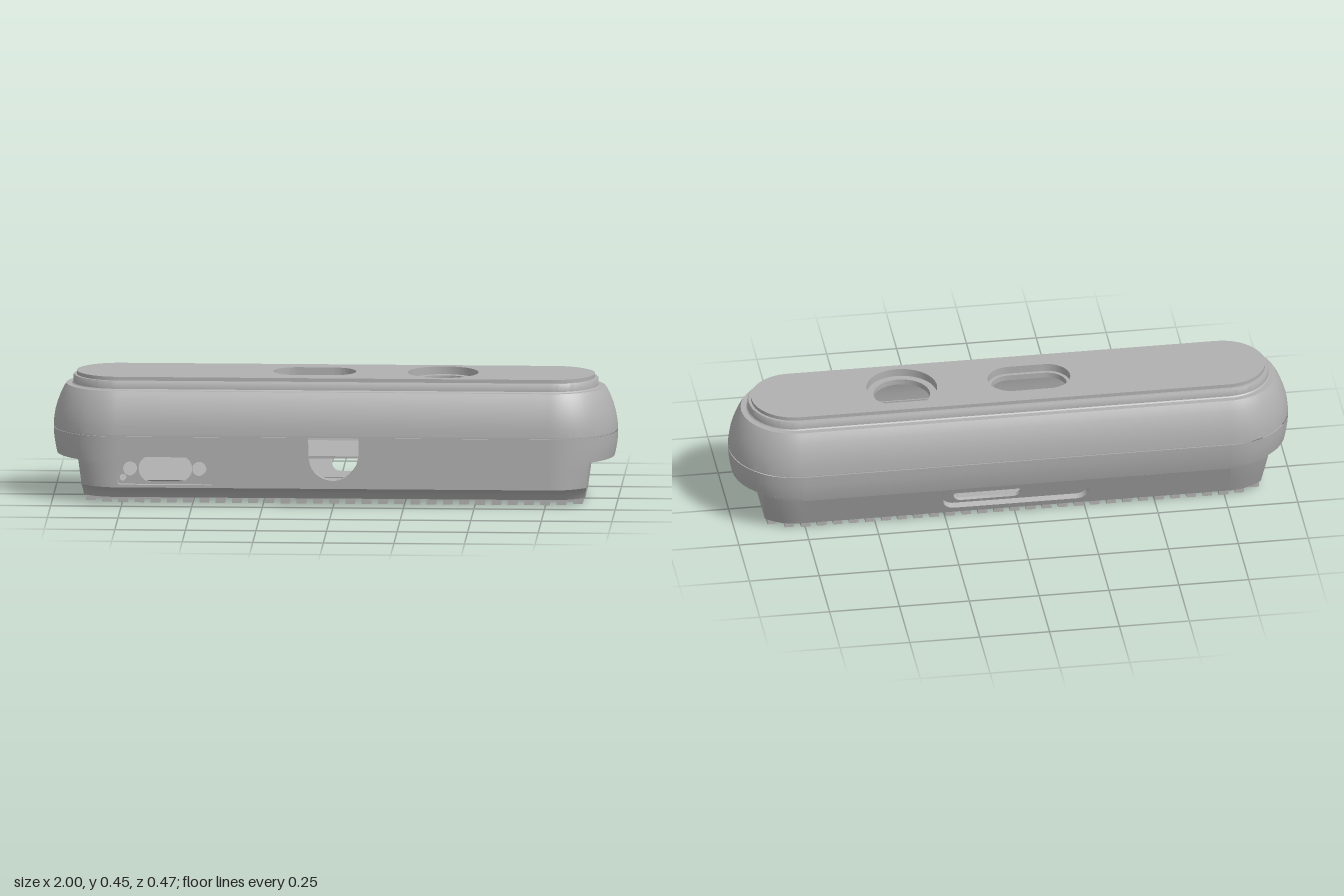
import * as THREE from 'three';
import { toCreasedNormals } from 'three/addons/utils/BufferGeometryUtils.js';

const CX = 0.767; // centre of each rounded end

// Lower body sections: height, radius of the ends and back, depth of the front
const LOWER = [
  [0.02, 0.168, 0.169], [0.04, 0.1761, 0.184], [0.055, 0.1822, 0.205],
  [0.06, 0.1842, 0.222], [0.065, 0.1862, 0.233], [0.14, 0.2165, 0.233], [0.157, 0.221, 0.233],
];
const MIDDLE = [[0.157, 0.221, 0.233], [0.18, 0.226, 0.233], [0.21, 0.231, 0.233], [0.247, 0.233, 0.233]];
const UPPER = [
  [0.247, 0.229], [0.253, 0.229], [0.253, 0.233], [0.28, 0.231], [0.31, 0.226], [0.34, 0.2175],
  [0.37, 0.206], [0.39, 0.196], [0.403, 0.188], [0.403, 0.168], [0.407, 0.164], [0.432, 0.163],
  [0.435, 0.161], [0.435, 0.148],
];

// Rounded end of one section, front to back on +x; plane(y) cuts it flat
function endPoints(side, [y, r, front = r], cut) {
  const plane = 0.885 + 0.13 * y;
  const tc = cut ? Math.acos((plane - CX) / r) : 0.95;
  const angles = [];
  for (let i = 0; i <= 12; i++) angles.push(Math.PI / 2 + (tc - Math.PI / 2) * i / 12);
  for (let i = 1; i < 12; i++) angles.push(tc * (1 - i / 6));
  for (let i = 0; i <= 12; i++) angles.push(-tc + (tc - Math.PI / 2) * i / 12);
  const pts = angles.map((t) => {
    const flat = cut && Math.abs(t) < tc;
    const x = flat ? plane : CX + r * Math.cos(t);
    const z = flat ? r * Math.sin(tc) * t / tc : r * Math.sin(t);
    return [side * x, y, z > 0 ? z * front / r : z];
  });
  return side > 0 ? pts : pts.reverse();
}

function ring(section, cut) {
  const pts = [...endPoints(1, section, cut), ...endPoints(-1, section, cut)];
  return [...pts, pts[0]];
}

// Skin over rows of points, bottom row first
function skin(rows) {
  const p = [];
  for (let i = 0; i < rows.length - 1; i++) {
    for (let j = 0; j < rows[i].length - 1; j++) {
      const a = rows[i][j], b = rows[i][j + 1], c = rows[i + 1][j + 1], d = rows[i + 1][j];
      p.push(...a, ...b, ...c, ...a, ...c, ...d);
    }
  }
  const g = new THREE.BufferGeometry();
  g.setAttribute('position', new THREE.Float32BufferAttribute(p, 3));
  return toCreasedNormals(g, 0.6);
}

// Pill outline; a circle when hx equals hy
function pill(cx, cy, hx, hy, Type = THREE.Path) {
  const s = new Type();
  s.absarc(cx + hx - hy, cy, hy, -Math.PI / 2, Math.PI / 2, false);
  s.absarc(cx - hx + hy, cy, hy, Math.PI / 2, Math.PI * 1.5, false);
  s.closePath();
  return s;
}

function roundRect(x0, y0, x1, y1, r, Type = THREE.Path) {
  const s = new Type();
  s.absarc(x1 - r, y0 + r, r, -Math.PI / 2, 0, false);
  s.absarc(x1 - r, y1 - r, r, 0, Math.PI / 2, false);
  s.absarc(x0 + r, y1 - r, r, Math.PI / 2, Math.PI, false);
  s.absarc(x0 + r, y0 + r, r, Math.PI, Math.PI * 1.5, false);
  s.closePath();
  return s;
}

function rect(x0, y0, x1, y1) {
  return new THREE.Shape([[x0, y0], [x1, y0], [x1, y1], [x0, y1]].map((q) => new THREE.Vector2(...q)));
}

function plate(shape, depth, holes = []) {
  shape.holes.push(...holes);
  const g = new THREE.ExtrudeGeometry(shape, { depth, bevelEnabled: false, curveSegments: 20 });
  return toCreasedNormals(g, 0.6);
}

export function createModel() {
  const model = new THREE.Group();
  model.name = 'device';
  const grey = new THREE.MeshStandardMaterial({ color: 0xb0b0b0, side: THREE.DoubleSide });
  grey.name = 'grey';
  const add = (name, geometry, x = 0, y = 0, z = 0, parent = model) => {
    const m = new THREE.Mesh(geometry, grey);
    m.name = name;
    m.position.set(x, y, z);
    parent.add(m);
    return m;
  };

  // Upper shell with its stepped rim
  add('upperShell', skin(UPPER.map((s) => ring(s, false))));

  // Top plate with a pill opening and a round opening, each with an inner lip
  const top = (depth, inset) => plate(pill(0, 0, 0.918, 0.151, THREE.Shape), depth, [
    pill(-0.075, 0, 0.147 - inset / 2, 0.083 - inset / 2), pill(0.38, 0, 0.125 - inset, 0.125 - inset),
  ]).rotateX(-Math.PI / 2);
  add('topPlate', top(0.028, 0), 0, 0.42);
  add('openingLips', top(0.02, 0.025), 0, 0.4);

  // Rounded ends of the lower body, cut flat below a ledge
  for (const side of [1, -1]) {
    const rows = [...LOWER.map((s) => endPoints(side, s, true)), ...MIDDLE.map((s) => endPoints(side, s, false))];
    add(side > 0 ? 'leftEnd' : 'rightEnd', skin(rows));
  }

  // Flat front wall with a U-shaped notch and a connector opening
  const front = new THREE.Shape();
  front.moveTo(-CX, 0.065);
  front.lineTo(CX, 0.065);
  front.lineTo(CX, 0.247);
  front.lineTo(0.09, 0.247);
  front.lineTo(0.09, 0.182);
  front.absarc(0, 0.182, 0.088, 0, -Math.PI, true);
  front.lineTo(-0.09, 0.247);
  front.lineTo(-CX, 0.247);
  // The opening sits just inside the flat part of the wall
  add('frontWall', plate(front, 0.03, [roundRect(-0.765, 0.075, -0.42, 0.18, 0.015)]), 0, 0, 0.203);
  add('connectorPlate', plate(roundRect(-0.785, 0.07, -0.41, 0.185, 0.01, THREE.Shape), 0.012, [
    pill(-0.595, 0.13, 0.095, 0.048), pill(-0.72, 0.13, 0.025, 0.025),
    pill(-0.475, 0.13, 0.025, 0.025), pill(-0.745, 0.098, 0.012, 0.012),
  ]), 0, 0, 0.2);
  add('frontCove', skin(LOWER.slice(0, 5).map(([y, , z]) => [[-CX, y, z], [CX, y, z]])));

  // Back wall with a long recess and a shorter slot in its floor
  add('backWall', skin([LOWER[5], ...MIDDLE].map(([y, r]) => [[CX, y, -r], [-CX, y, -r]])));
  const back = new THREE.Group();
  back.name = 'backPanel';
  back.position.set(0, 0.02, -0.168);
  back.rotation.x = -Math.atan2(0.0485, 0.12);
  model.add(back);
  add('backRecess', plate(rect(-CX, 0, CX, 0.1294), 0.022, [pill(0, 0.065, 0.26, 0.042)]), 0, 0, 0, back);
  add('backSlot', plate(rect(-0.3, 0.012, 0.3, 0.118), 0.012, [pill(0.1, 0.065, 0.12, 0.029)]), 0, 0, 0.022, back);

  // Floor and inner board
  const outline = ring(LOWER[0], true).slice(0, -1).map(([x, , z]) => new THREE.Vector2(x, z));
  add('floor', new THREE.ShapeGeometry(new THREE.Shape(outline)).rotateX(Math.PI / 2), 0, 0.02);
  add('innerBoard', new THREE.BoxGeometry(1.5, 0.008, 0.34), 0, 0.168);

  // Cross ribs under the body, shorter towards the rounded ends
  for (let i = -15; i <= 15; i++) {
    const x = i * 0.0575;
    const over = Math.max(0, Math.abs(x) + 0.005 - CX);
    const half = Math.sqrt(0.16 ** 2 - over ** 2);
    if (Math.abs(i) < 12 || Math.abs(i) === 15) {
      add('rib', new THREE.BoxGeometry(0.034, 0.021, 2 * half), x, 0.0105);
    } else {
      // Ribs beside the screw pads are split in two
      for (const s of [1, -1]) add('shortRib', new THREE.BoxGeometry(0.034, 0.021, half - 0.08), x, 0.0105, s * (half + 0.08) / 2);
    }
  }

  // Screw pads with recessed screws
  for (const s of [1, -1]) {
    const pad = plate(rect(-0.115, -0.085, 0.115, 0.085), 0.02, [pill(0, 0, 0.04, 0.04)]).rotateX(Math.PI / 2);
    add('screwPad', pad, s * 0.765, 0.02);
    add('screw', new THREE.CylinderGeometry(0.03, 0.03, 0.012, 24), s * 0.765, 0.015);
  }
  return model;
}
